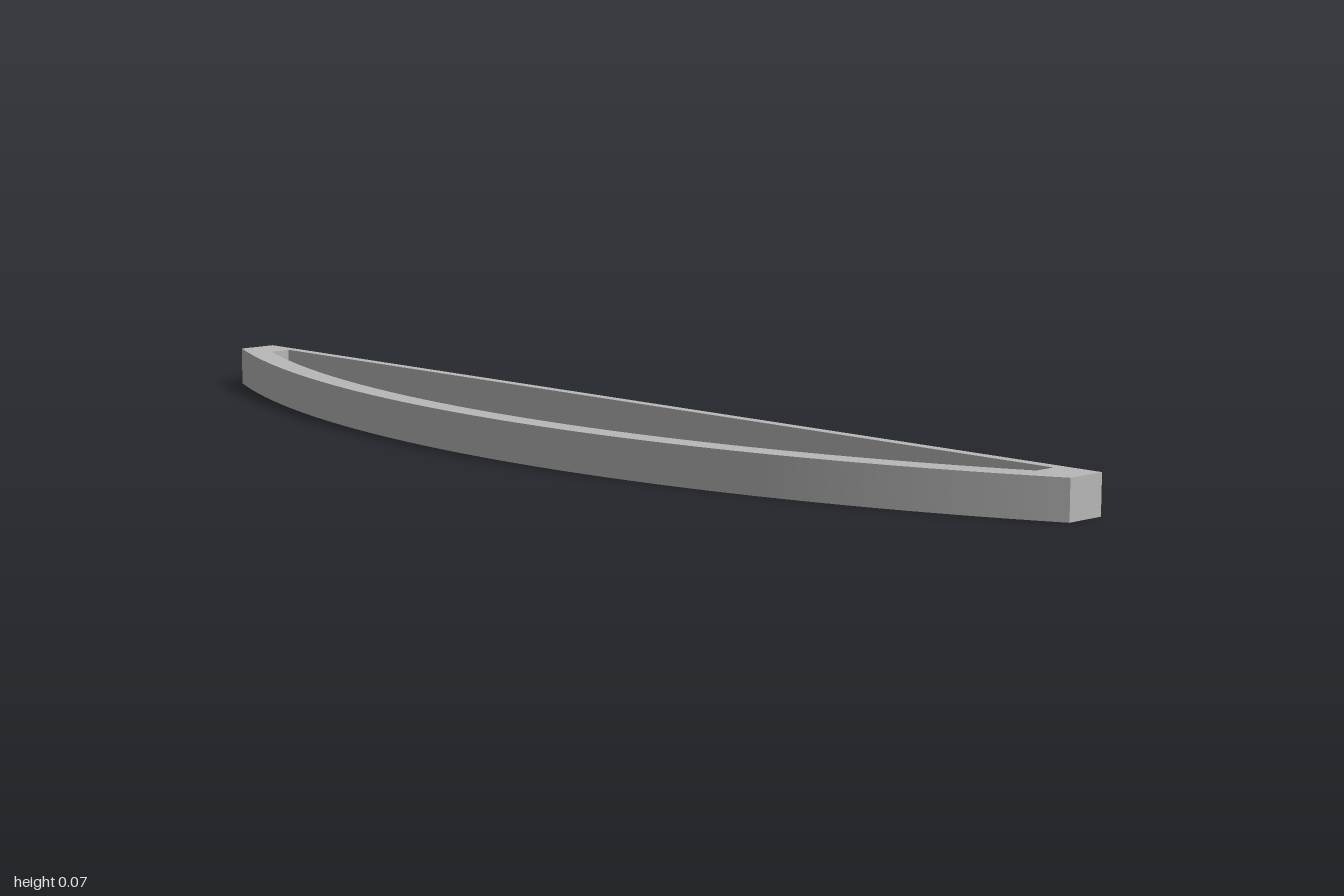
import * as THREE from 'three';
import { toCreasedNormals } from 'three/addons/utils/BufferGeometryUtils.js';

const HEIGHT = 0.067;
const BACK = -0.157;
const FRONT = 0.157;
const RADIUS = 2.203;       // outer radius of the bowed front
const BOW = 0.045;          // thickness of the bowed front
const RAIL = 0.02;          // thickness of the straight back rail

// Closed D-shaped outline: straight back, short ends, arc at the front
function outline(PathType, halfWidth, back, radius) {
  const centre = FRONT - RADIUS;
  const angle = Math.asin(halfWidth / radius);
  const path = new PathType();
  path.moveTo(-halfWidth, back);
  path.lineTo(halfWidth, back);
  path.absarc(0, centre, radius, Math.PI / 2 - angle, Math.PI / 2 + angle, false);
  path.closePath();
  return path;
}

export function createModel() {
  const grey = new THREE.MeshStandardMaterial({ color: 0xb8b8b8 });
  grey.name = 'grey';

  // Bowed frame with one opening that follows the front curve
  const shape = outline(THREE.Shape, 1, BACK, RADIUS);
  shape.holes.push(outline(THREE.Path, 0.925, BACK + RAIL, RADIUS - BOW));
  const geometry = new THREE.ExtrudeGeometry(shape, {
    depth: HEIGHT, bevelEnabled: false, curveSegments: 48,
  });
  geometry.rotateX(Math.PI / 2).translate(0, HEIGHT, 0);

  const frame = new THREE.Mesh(toCreasedNormals(geometry, 0.3), grey);
  frame.name = 'bowedFrame';

  const group = new THREE.Group();
  group.name = 'bowFrame';
  group.add(frame);
  return group;
}
